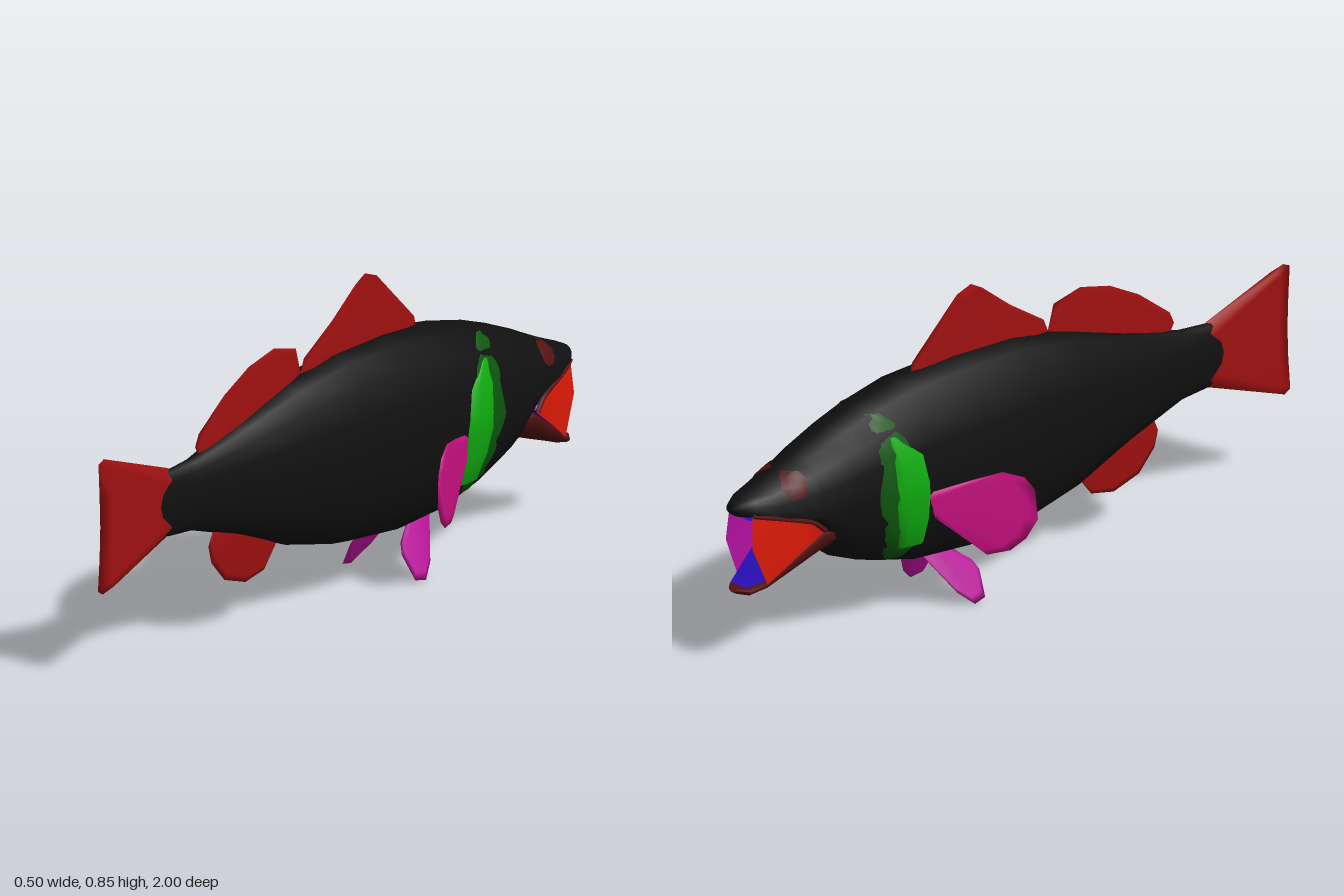
import * as THREE from 'three';

const V = (x, y, z) => new THREE.Vector3(x, y, z);
const mat = (name, color, side = THREE.FrontSide) => {
  const m = new THREE.MeshStandardMaterial({ color, side });
  m.name = name;
  return m;
};

// Stations along the fish: [z, top, widest height, bottom, half width]
const BODY = [
  [-0.985, 0.455, 0.43, 0.418, 0.03], [-0.95, 0.47, 0.425, 0.41, 0.055], [-0.88, 0.496, 0.405, 0.392, 0.078],
  [-0.8, 0.53, 0.39, 0.368, 0.095], [-0.76, 0.548, 0.385, 0.35, 0.105], [-0.71, 0.567, 0.385, 0.258, 0.113],
  [-0.65, 0.59, 0.39, 0.215, 0.121], [-0.55, 0.622, 0.395, 0.175, 0.13], [-0.4, 0.655, 0.395, 0.135, 0.137],
  [-0.2, 0.666, 0.393, 0.12, 0.137], [0, 0.66, 0.395, 0.135, 0.125], [0.2, 0.625, 0.4, 0.18, 0.103],
  [0.4, 0.565, 0.41, 0.255, 0.07], [0.6, 0.515, 0.415, 0.315, 0.035], [0.7, 0.507, 0.415, 0.322, 0.022],
  [0.75, 0.495, 0.415, 0.34, 0.015],
];
const JAW = [
  [-0.985, 0.212, 0.208, 0.198, 0.02], [-0.96, 0.213, 0.205, 0.19, 0.044], [-0.92, 0.228, 0.22, 0.2, 0.062],
  [-0.85, 0.277, 0.266, 0.222, 0.08], [-0.75, 0.343, 0.325, 0.255, 0.097], [-0.69, 0.35, 0.33, 0.27, 0.1],
];

// Linear lookup of the station values at any z
function at(stations, z) {
  let i = 0;
  while (i < stations.length - 2 && stations[i + 1][0] < z) i++;
  const a = stations[i], b = stations[i + 1];
  const t = THREE.MathUtils.clamp((z - a[0]) / (b[0] - a[0]), 0, 1);
  return a.map((v, k) => v + (b[k] - v) * t);
}

// Sixteen-sided, slightly boxy oval section
function sectionPoint([z, top, mid, bottom, w], k) {
  const a = (k / 16) * Math.PI * 2, s = Math.sin(a), c = Math.cos(a);
  return V(Math.sign(s) * w * Math.abs(s) ** 0.8, mid + c * (c > 0 ? top - mid : mid - bottom), z);
}

// Half width of the body skin at (z, y)
function skinX(z, y) {
  const st = at(BODY, z);
  for (let k = 0; k < 8; k++) {
    const p = sectionPoint(st, k), q = sectionPoint(st, k + 1);
    if (y <= p.y && y >= q.y) return p.x + ((q.x - p.x) * (p.y - y)) / (p.y - q.y);
  }
  return 0;
}

// Mesh from rows of points; s = -1 mirrors it to the other side
function grid(name, rows, material, { closed = false, s = 1 } = {}) {
  const list = s < 0 ? [...rows].reverse() : rows;
  const n = list[0].length, pos = [], index = [];
  list.forEach((row) => row.forEach((p) => pos.push(p.x * s, p.y, p.z)));
  for (let i = 0; i < list.length - 1; i++) {
    for (let j = 0; j < (closed ? n : n - 1); j++) {
      const a = i * n + j, b = i * n + ((j + 1) % n), c = a + n, d = b + n;
      index.push(a, c, b, b, c, d);
    }
  }
  const g = new THREE.BufferGeometry();
  g.setAttribute('position', new THREE.Float32BufferAttribute(pos, 3));
  g.setIndex(index);
  g.computeVertexNormals();
  const mesh = new THREE.Mesh(g, material);
  mesh.name = name;
  return mesh;
}

// Closed loft through the stations, with rounded ends
function loft(name, stations, material, capOut) {
  const rows = stations.map((st) => Array.from({ length: 16 }, (_, k) => sectionPoint(st, k)));
  const end = (st, dz) => Array.from({ length: 16 }, () => V(0, (st[1] + st[3]) / 2, st[0] + dz));
  rows.unshift(end(stations[0], -0.011));
  rows.push(end(stations[stations.length - 1], capOut));
  return grid(name, rows, material, { closed: true });
}

// Fin between a root line and an outer edge, thin with a bevelled rim
function fin(name, root, edge, thick, normal, material, s = 1) {
  const rows = edge.map((e, i) => {
    const u = i / (edge.length - 1);
    const r = root[0].clone().lerp(root[1], u);
    const m = r.clone().lerp(e, 0.88);
    const t = i === 0 || i === edge.length - 1 ? 0 : thick;
    const off = (p, d) => p.clone().addScaledVector(normal, d);
    return [off(r, t), off(m, t * 0.55), e, off(m, -t * 0.55), off(r, -t)];
  });
  return grid(name, rows, material, { s });
}

// Plate lying on the body skin; rows are [y, front z, back z]
function skinPlate(name, outline, lift, material, s) {
  const rows = outline.map(([y, z0, z1], i) => Array.from({ length: 7 }, (_, j) => {
    const z = z0 + ((z1 - z0) * j) / 6;
    const rim = i === 0 || i === outline.length - 1 || j === 0 || j === 6;
    return V(skinX(z, y) + (rim ? 0.003 : lift), y, z);
  }));
  return grid(name, rows, material, { s });
}

export function createModel() {
  const D = THREE.DoubleSide;
  const black = mat('body black', 0x101010);
  const finRed = mat('fin red', 0x9e1010, D);
  const darkRed = mat('eye and jaw dark red', 0x561212, D);
  const green = mat('gill green', 0x10ac10, D);
  const darkGreen = mat('gill dark green', 0x0d560f, D);
  const pink = mat('pectoral magenta', 0xc81080, D);
  const violet = mat('pelvic violet', 0xb81098, D);
  const cheekRed = mat('cheek red', 0xe01a08);
  const cheekInner = mat('inner cheek magenta', 0xb010a0);
  const blue = mat('mouth blue', 0x2a10c0, D);

  const fish = new THREE.Group();
  fish.name = 'fish';
  fish.add(loft('body', BODY, black, 0.03), loft('lowerJaw', JAW, darkRed, 0.01));

  // Fins on the centre line, as (z, y) pairs
  const zy = (pairs) => pairs.map(([z, y]) => V(0, y, z));
  const side = V(1, 0, 0);
  fish.add(
    fin('frontDorsalFin', zy([[-0.34, 0.63], [0.13, 0.62]]),
      zy([[-0.356, 0.655], [-0.35, 0.68], [-0.27, 0.755], [-0.19, 0.83], [-0.14, 0.847], [-0.1, 0.826], [0, 0.75], [0.12, 0.675], [0.135, 0.64]]),
      0.009, side, finRed),
    fin('rearDorsalFin', zy([[0.14, 0.61], [0.57, 0.5]]),
      zy([[0.135, 0.64], [0.155, 0.71], [0.25, 0.732], [0.356, 0.707], [0.46, 0.654], [0.57, 0.573], [0.585, 0.54], [0.57, 0.515]]),
      0.009, side, finRed),
    fin('analFin', zy([[0.24, 0.23], [0.5, 0.31]]),
      zy([[0.235, 0.2], [0.29, 0.134], [0.37, 0.118], [0.46, 0.145], [0.515, 0.204], [0.528, 0.25], [0.515, 0.28]]),
      0.009, side, finRed),
    fin('tailFin', zy([[0.68, 0.49], [0.68, 0.34]]),
      zy([[0.7, 0.51], [0.975, 0.6], [0.998, 0.59], [0.993, 0.5], [0.99, 0.415], [0.993, 0.33], [1, 0.24], [0.98, 0.228], [0.7, 0.325]]),
      0.017, side, finRed),
  );

  for (const s of [1, -1]) {
    const tag = s > 0 ? 'left' : 'right';

    // Paired fins leaning away from the body
    const pec = (pairs) => pairs.map(([z, y]) => V(0.133 + (z + 0.4) * 0.44, y, z));
    fish.add(fin(tag + 'PectoralFin', pec([[-0.41, 0.36], [-0.39, 0.29]]),
      pec([[-0.4, 0.365], [-0.3, 0.385], [-0.22, 0.397], [-0.165, 0.375], [-0.137, 0.335], [-0.13, 0.25], [-0.16, 0.2], [-0.2, 0.172], [-0.26, 0.168], [-0.38, 0.285]]),
      0.006, V(0.91, 0, -0.41), pink, s));
    const pel = (pairs) => pairs.map(([z, y]) => V(0.045 + (0.15 - y) * 0.55, y, z));
    fish.add(fin(tag + 'PelvicFin', pel([[-0.33, 0.15], [-0.26, 0.15]]),
      pel([[-0.355, 0.145], [-0.285, 0.04], [-0.24, 0.002], [-0.2, 0.01], [-0.188, 0.075], [-0.2, 0.1], [-0.26, 0.13]]),
      0.006, V(0.88, 0.48, 0), violet, s));

    // Gill cover and eye plates
    fish.add(
      skinPlate(tag + 'GillBand', [[0.605, -0.565, -0.53], [0.58, -0.57, -0.5], [0.5, -0.567, -0.46], [0.38, -0.58, -0.43], [0.28, -0.548, -0.42], [0.22, -0.535, -0.43], [0.18, -0.525, -0.455]],
        0.006, darkGreen, s),
      skinPlate(tag + 'GillPlate', [[0.545, -0.525, -0.51], [0.48, -0.525, -0.43], [0.4, -0.52, -0.413], [0.36, -0.525, -0.408], [0.29, -0.51, -0.408], [0.22, -0.495, -0.408], [0.215, -0.48, -0.42]],
        0.012, green, s),
      skinPlate(tag + 'Eye', [[0.512, -0.835, -0.805], [0.5, -0.855, -0.797], [0.48, -0.865, -0.795], [0.46, -0.86, -0.8], [0.447, -0.845, -0.815]],
        0.006, darkRed, s),
    );

    // Cheek skin stretched between the jaws: red outside, magenta inside
    const cheek = [];
    for (let i = 0; i <= 6; i++) {
      const t = i / 6, zu = -0.75 - 0.21 * t, zl = -0.75 - 0.17 * t;
      const up = at(BODY, zu), low = at(JAW, zl);
      const a = V(up[4] * 0.95, up[3] + 0.008, zu), b = V(low[4] * 0.97, low[1] - 0.006, zl);
      const m = a.clone().lerp(b, 0.45);
      m.z -= 0.025 * t;
      cheek.push([a, m, b]);
    }
    fish.add(
      grid(tag + 'Cheek', cheek.map((r) => [...r].reverse()).reverse().map((r) => [...r].reverse()), cheekRed, { s }),
      grid(tag + 'InnerCheek', cheek, cheekInner, { s }),
    );

    // Upper lip
    const lip = new THREE.CatmullRomCurve3(cheek.map(([a]) => V(a.x * s, a.y + 0.002, a.z)));
    const lipMesh = new THREE.Mesh(new THREE.TubeGeometry(lip, 12, 0.007, 6), darkRed);
    lipMesh.name = tag + 'Lip';
    fish.add(lipMesh);
  }

  // Mouth roof and floor
  const strip = (stations, zs, k, dy, f) => zs.map((z) => {
    const st = at(stations, z);
    return [-1, 0, 1].map((u) => V(u * st[4] * f, st[k] + dy, z));
  });
  fish.add(
    grid('mouthRoof', strip(BODY, [-0.965, -0.92, -0.85, -0.77], 3, -0.004, 0.85).reverse(), blue),
    grid('mouthFloor', strip(JAW, [-0.97, -0.92, -0.85, -0.75], 1, 0.004, 0.88), blue),
  );
  return fish;
}
